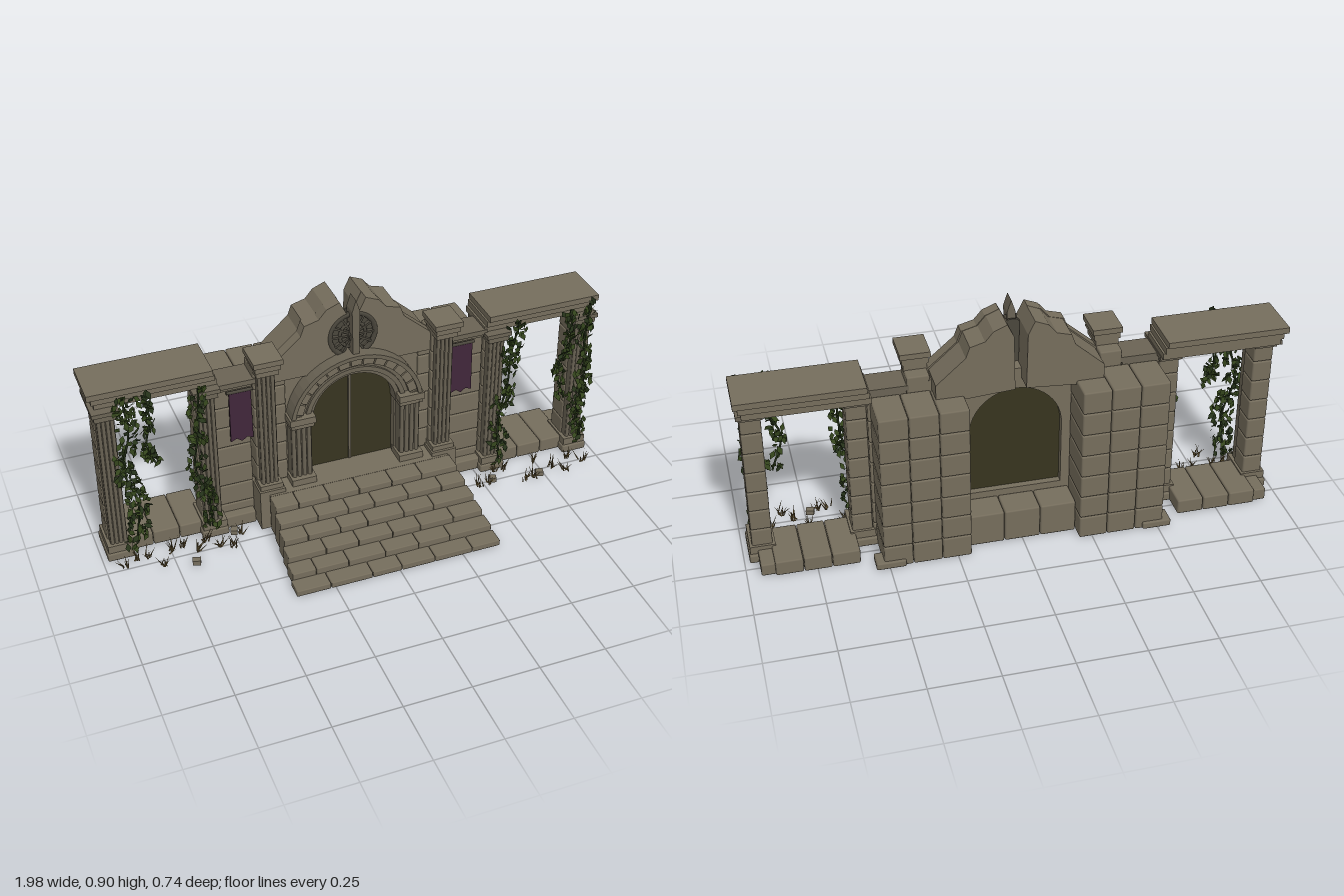
import * as THREE from 'three';
import { mergeGeometries } from 'three/addons/utils/BufferGeometryUtils.js';
import { RoundedBoxGeometry } from 'three/addons/geometries/RoundedBoxGeometry.js';

export function createModel() {
  const model = new THREE.Group();
  const mat = (name, color, side = THREE.FrontSide) => {
    const m = new THREE.MeshStandardMaterial({ color, side });
    m.name = name;
    return m;
  };
  const stone = mat('stone', 0x756d5c);
  const trim = mat('trimStone', 0x6a6354);
  const dark = mat('darkMetal', 0x4a463c);
  const door = mat('doorOlive', 0x37341f);
  const cloth = mat('bannerPurple', 0x40263a);
  const leaf = mat('leafGreen', 0x34451c, THREE.DoubleSide);
  const leafDark = mat('leafDarkGreen', 0x26331a, THREE.DoubleSide);
  const grass = mat('dryGrass', 0x6b5a36);

  let seed = 7;
  const rnd = (a = 0, b = 1) => {
    seed = (seed * 16807) % 2147483647;
    return a + (b - a) * (seed / 2147483647);
  };

  // helpers: boxes are given by their limits
  const box = (x0, x1, y0, y1, z0, z1) =>
    new THREE.BoxGeometry(Math.abs(x1 - x0), y1 - y0, z1 - z0).translate((x0 + x1) / 2, (y0 + y1) / 2, (z0 + z1) / 2);
  const block = (x0, x1, y0, y1, z0, z1, r = 0.006) =>
    new RoundedBoxGeometry(Math.abs(x1 - x0) - 0.002, y1 - y0 - 0.002, z1 - z0, 1, r)
      .translate((x0 + x1) / 2, (y0 + y1) / 2, (z0 + z1) / 2);
  const add = (name, geos, material) => {
    const g = geos.map(q => (q.index ? q.toNonIndexed() : q));
    const mesh = new THREE.Mesh(g.length > 1 ? mergeGeometries(g) : g[0], material);
    mesh.name = name;
    model.add(mesh);
    return mesh;
  };
  const extrude = (pts, z0, z1) =>
    new THREE.ExtrudeGeometry(new THREE.Shape(pts.map(p => new THREE.Vector2(p[0], p[1]))), { depth: z1 - z0, bevelEnabled: false }).translate(0, 0, z0);
  const arcPts = (cy, r, a0, a1, n) =>
    Array.from({ length: n + 1 }, (_, i) => {
      const a = a0 + (a1 - a0) * i / n;
      return [r * Math.cos(a), cy + r * Math.sin(a)];
    });
  const band = (cy, r0, r1, a0, a1, n, z0, z1) =>
    extrude([...arcPts(cy, r1, a0, a1, n), ...arcPts(cy, r0, a1, a0, n)], z0, z1);
  const courses = (x0, x1, y0, y1, z0, z1, cols, rows) => {
    const out = [], w = (x1 - x0) / cols, h = (y1 - y0) / rows;
    for (let i = 0; i < cols; i++) for (let j = 0; j < rows; j++)
      out.push(block(x0 + i * w, x0 + (i + 1) * w, y0 + j * h, y0 + (j + 1) * h, z0, z1));
    return out;
  };
  // pilaster front: backing slab with round ribs
  const fluted = (cx, w, y0, y1, z0, z1) => {
    const out = [box(cx - w / 2, cx + w / 2, y0, y1, z0, z1 - 0.012)], n = 4, r = w / n / 2;
    for (let i = 0; i < n; i++)
      out.push(new THREE.CylinderGeometry(r * 0.85, r * 0.85, y1 - y0, 8).translate(cx - w / 2 + r * (2 * i + 1), (y0 + y1) / 2, z1 - 0.012));
    return out;
  };

  // stairs, slightly narrower towards the top
  const stairs = [];
  for (let i = 0; i < 6; i++) {
    const half = 0.4 - i * 0.007, z1 = 0.37 - i * 0.065, z0 = i === 5 ? -0.03 : z1 - 0.068;
    const cuts = [-half];
    for (let k = 1; k < 6; k++) cuts.push(-half + 2 * half * (k + (i % 2 ? -0.3 : 0.1)) / 6 + rnd(-0.015, 0.015));
    cuts.push(half);
    for (let k = 0; k < 6; k++) stairs.push(block(cuts[k], cuts[k + 1], 0, 0.027 + i * 0.0257, z0, z1, 0.004));
  }
  add('stairs', stairs, stone);
  add('landing', [box(-0.36, 0.36, 0, 0.153, -0.2, -0.03)], stone);
  add('rearSill', courses(-0.2, 0.2, 0, 0.13, -0.31, -0.2, 3, 1), stone);

  // door leaves under the arch
  const CY = 0.41;
  add('doorLeaves', [extrude([[0.175, 0.15], ...arcPts(CY, 0.175, 0, Math.PI, 24), [-0.175, 0.15]], -0.175, -0.155)], door);
  add('doorSeam', [box(-0.005, 0.005, 0.155, 0.58, -0.156, -0.148)], trim);

  // wall around the door with an arched opening
  add('archWall', [extrude([[0.31, 0.153], [0.31, 0.66], [-0.31, 0.66], [-0.31, 0.153], [-0.17, 0.153],
    ...arcPts(CY, 0.17, Math.PI, 0, 24), [0.17, 0.153]], -0.2, -0.125)], stone);

  // arch mouldings and voussoirs
  add('archMouldings', [
    band(CY, 0.165, 0.182, 0, Math.PI, 24, -0.15, -0.095),
    band(CY, 0.182, 0.2, 0, Math.PI, 24, -0.13, -0.08),
    band(CY, 0.2, 0.215, 0, Math.PI, 24, -0.13, -0.09),
    band(CY, 0.246, 0.262, 0, Math.PI, 24, -0.13, -0.06)], trim);
  const vous = [];
  for (let i = 0; i < 15; i++)
    vous.push(band(CY, 0.215, 0.246, Math.PI * (i + 0.06) / 15, Math.PI * (i + 0.94) / 15, 2, -0.13, -0.072));
  add('voussoirs', vous, stone);

  // rosette and central finial
  const ros = [new THREE.TorusGeometry(0.088, 0.011, 6, 32).translate(0, 0.735, -0.115),
    new THREE.TorusGeometry(0.05, 0.007, 6, 24).translate(0, 0.735, -0.115),
    new THREE.CylinderGeometry(0.02, 0.02, 0.04, 12).rotateX(Math.PI / 2).translate(0, 0.735, -0.115)];
  for (let i = 0; i < 12; i++)
    ros.push(new THREE.BoxGeometry(0.008, 0.07, 0.016).translate(0, 0.05, 0).rotateZ(i * Math.PI / 6).translate(0, 0.735, -0.115));
  add('rosette', ros, dark);
  add('rosetteBack', [new THREE.CylinderGeometry(0.095, 0.095, 0.008, 32).rotateX(Math.PI / 2).translate(0, 0.735, -0.145)], dark);
  add('finial', [extrude([[-0.012, 0.66], [0.012, 0.66], [0.015, 0.85], [0, 0.896], [-0.015, 0.85]], -0.133, -0.077)], trim);

  for (const s of [1, -1]) {
    const side = s > 0 ? 'left' : 'right';
    const mx = (geos) => geos.map(g => g.translate(0, 0, 0));
    const X = (a, b) => (s > 0 ? [a, b] : [-b, -a]);

    // broken pediment halves, thin in front and thick behind
    const top = [[0.31, 0.6], [0.31, 0.675], [0.2, 0.77], [0.185, 0.81], [0.13, 0.825], [0.1, 0.86], [0.05, 0.88], [0.025, 0.83]];
    const flip = pts => pts.map(p => [p[0] * s, p[1]]);
    add(side + 'Pediment', [extrude(flip([...top, ...arcPts(0.735, 0.092, 1.35, -1.35, 14), [0.02, 0.6]]), -0.155, -0.11)], stone);
    add(side + 'PedimentRear', [extrude(flip([...top.map(p => [p[0] * 0.97, p[1]]), [0.02, 0.62]]), -0.27, -0.155)], stone);

    // rear tower and front wall of block courses
    add(side + 'Tower', courses(...X(0.2, 0.52), 0, 0.622, -0.36, -0.2, 3, 7), stone);
    add(side + 'FrontWall', courses(...X(0.395, 0.53), 0, 0.61, -0.205, -0.125, 1, 7), stone);
    add(side + 'InnerWall', courses(...X(0.26, 0.32), 0.155, 0.66, -0.2, -0.115, 1, 6), stone);
    add(side + 'WallLedge', [box(...X(0.39, 0.54), 0.61, 0.628, -0.2, -0.105), box(...X(0.38, 0.53), 0.628, 0.648, -0.2, -0.09)], trim);
    add(side + 'WallFoot', [block(...X(0.4, 0.53), 0, 0.055, -0.13, -0.09), block(...X(0.44, 0.55), 0, 0.03, -0.37, -0.3)], stone);

    // tall pilaster beside the arch
    const p = 0.347 * s;
    add(side + 'PilasterCore', courses(p - 0.042, p + 0.042, 0, 0.68, -0.2, -0.095, 1, 8), stone);
    add(side + 'PilasterShaft', fluted(p, 0.066, 0.06, 0.68, -0.1, -0.058), trim);
    add(side + 'PilasterCapital', [box(p - 0.042, p + 0.042, 0.675, 0.7, -0.15, -0.048),
      box(p - 0.048, p + 0.048, 0.7, 0.724, -0.152, -0.038), box(p - 0.055, p + 0.055, 0.724, 0.745, -0.157, -0.03)], stone);
    add(side + 'PilasterBase', [box(p - 0.05, p + 0.05, 0, 0.17, -0.15, -0.04), box(p - 0.044, p + 0.044, 0.17, 0.19, -0.12, -0.05)], stone);

    // door jamb columns carrying the arch
    const j = 0.216 * s;
    add(side + 'JambColumn', fluted(j, 0.08, 0.153, 0.41, -0.14, -0.07), trim);
    add(side + 'JambCapital', [box(j - 0.046, j + 0.046, 0.405, 0.425, -0.14, -0.064), box(j - 0.05, j + 0.05, 0.425, 0.452, -0.14, -0.055)], stone);
    add(side + 'JambBase', [box(j - 0.048, j + 0.048, 0.15, 0.18, -0.14, -0.055)], stone);

    // banner on its rod
    const b = 0.436 * s;
    add(side + 'Banner', [extrude([[b - 0.041, 0.595], [b - 0.043, 0.385], [b - 0.02, 0.395], [b, 0.38],
      [b + 0.02, 0.395], [b + 0.043, 0.385], [b + 0.041, 0.595]], -0.112, -0.104)], cloth);
    add(side + 'BannerRod', [new THREE.CylinderGeometry(0.006, 0.006, 0.1, 8).rotateZ(Math.PI / 2).translate(b, 0.598, -0.108)], dark);

    // colonnade: two block pillars with fluted fronts
    const lift = s > 0 ? 0 : 0.02;
    for (const [n, c] of [['Outer', 0.93], ['Inner', 0.568]]) {
      const x = c * s;
      add(side + n + 'Pillar', courses(x - 0.038, x + 0.038, 0.05, 0.615 + lift, -0.2, -0.113, 1, 7), stone);
      add(side + n + 'PillarFlutes', fluted(x, 0.064, 0.06, 0.615 + lift, -0.116, -0.072), trim);
      add(side + n + 'PillarBase', [block(x - 0.052, x + 0.052, 0, 0.035, -0.22, -0.06), box(x - 0.046, x + 0.046, 0.035, 0.065, -0.21, -0.066)], stone);
      add(side + n + 'PillarCapital', [box(x - 0.042, x + 0.042, 0.598 + lift, 0.62 + lift, -0.215, -0.066),
        box(x - 0.05, x + 0.05, 0.62 + lift, 0.636 + lift, -0.24, -0.06)], trim);
    }
    // layered lintel
    add(side + 'Lintel', [box(...X(0.52, 0.962), 0.634 + lift, 0.658 + lift, -0.262, -0.095),
      box(...X(0.528, 0.972), 0.658 + lift, 0.682 + lift, -0.266, -0.088),
      box(...X(0.535, 0.988), 0.682 + lift, 0.705 + lift, -0.272, -0.08)], stone);
    // low footing stones between the pillars
    add(side + 'Footing', courses(...X(0.595, 0.9), 0, 0.06, -0.31, -0.1, 3, 1), stone);
    add(side + 'FootingEnd', [block(...X(0.89, 0.95), 0, 0.05, -0.3, -0.2)], stone);
  }

  // hanging vines: a stem curve with scattered folded leaves
  const vine = (name, pts, spread, count) => {
    const curve = new THREE.CatmullRomCurve3(pts.map(p => new THREE.Vector3(p[0], p[1], -0.058)));
    add(name + 'Stem', [new THREE.TubeGeometry(curve, 30, 0.004, 5)], leafDark);
    const sets = [[], []];
    for (let i = 0; i < count; i++) {
      const q = curve.getPoint(rnd()), g = new THREE.CircleGeometry(0.012, 4);
      g.scale(0.9, rnd(1.2, 1.7), 1).rotateX(rnd(-0.7, 0.7)).rotateY(rnd(-1, 1)).rotateZ(rnd(-0.9, 0.9));
      sets[i % 3 ? 0 : 1].push(g.translate(q.x + rnd(-spread, spread), q.y + rnd(-0.015, 0.01), q.z + rnd(-0.016, 0.022)));
    }
    add(name + 'Leaves', sets[0], leaf);
    add(name + 'ShadeLeaves', sets[1], leafDark);
  };
  vine('rightOuterVine', [[-0.87, 0.7], [-0.86, 0.55], [-0.89, 0.4], [-0.85, 0.25], [-0.87, 0.06]], 0.038, 190);
  vine('rightOuterVineStrand', [[-0.8, 0.7], [-0.78, 0.6], [-0.8, 0.48], [-0.77, 0.4]], 0.022, 70);
  vine('rightInnerVine', [[-0.6, 0.68], [-0.61, 0.5], [-0.63, 0.34], [-0.59, 0.2], [-0.58, 0.06]], 0.033, 150);
  vine('leftInnerVine', [[0.65, 0.68], [0.62, 0.55], [0.61, 0.4], [0.58, 0.25], [0.59, 0.06]], 0.033, 150);
  vine('leftOuterVine', [[0.94, 0.69], [0.93, 0.5], [0.94, 0.35], [0.92, 0.2], [0.95, 0.06]], 0.03, 170);
  vine('leftOuterVineStrand', [[0.86, 0.68], [0.87, 0.55], [0.82, 0.42], [0.86, 0.28]], 0.026, 90);

  // dry grass tufts in front of the colonnades
  const tufts = [];
  for (const s of [1, -1]) for (let t = 0; t < 11; t++) {
    const x = s * (0.48 + t * 0.045), z = rnd(-0.06, 0.06);
    for (let k = 0; k < 8; k++) {
      const h = rnd(0.03, 0.06);
      tufts.push(new THREE.ConeGeometry(0.0035, h, 3).translate(0, h / 2, 0).rotateZ(rnd(-0.6, 0.6)).rotateX(rnd(-0.6, 0.6))
        .translate(x + rnd(-0.012, 0.012), 0.002, z + rnd(-0.012, 0.012)));
    }
  }
  add('grassTufts', tufts, grass);

  // loose rubble
  const rubble = [[-0.68, 0.06], [0.54, 0.0], [0.73, 0.03], [-0.5, -0.06]].map(([x, z]) =>
    new THREE.BoxGeometry(0.03, 0.02, 0.025).rotateY(rnd(0, 3)).translate(x, 0.01, z));
  add('rubble', rubble, stone);
  return model;
}
